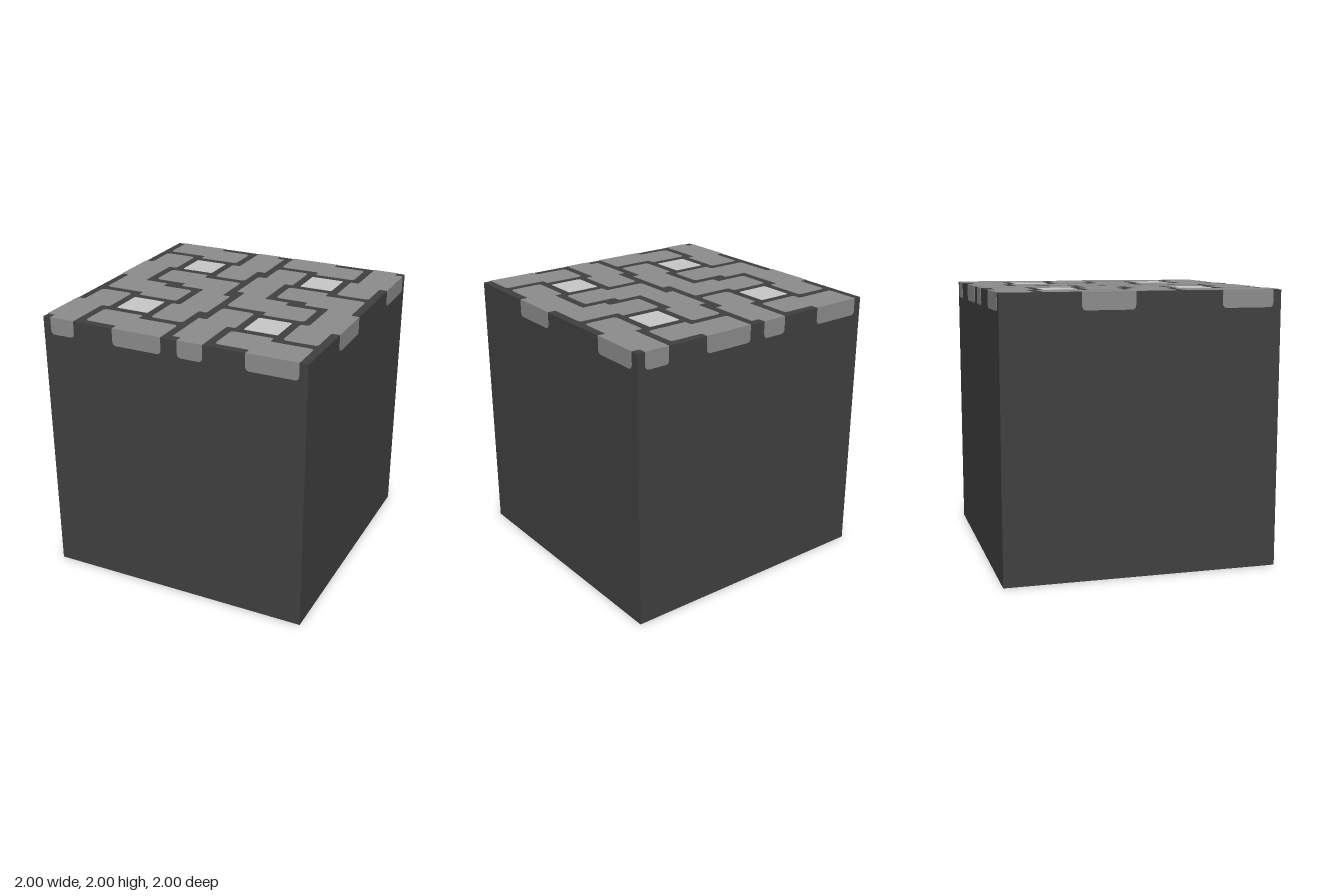
import * as THREE from 'three';

const CELL = 1 / 16;      // layout grid step
const PLATE = 0.003;      // thickness of the inlaid plates

// Closed outline in grid steps with softened corners, except where sharp(x, y) holds
function roundedShape(points, sharp, maxRadius = 0.5) {
  const pts = points.map(([x, y]) => new THREE.Vector2(x, y));
  const n = pts.length;
  const shape = new THREE.Shape();
  pts.forEach((p, i) => {
    const toPrev = pts[(i + n - 1) % n].clone().sub(p);
    const toNext = pts[(i + 1) % n].clone().sub(p);
    const r = sharp(p.x, p.y) ? 0 : Math.min(maxRadius, 0.25 * Math.min(toPrev.length(), toNext.length()));
    const a = p.clone().addScaledVector(toPrev.normalize(), r).multiplyScalar(CELL);
    const b = p.clone().addScaledVector(toNext.normalize(), r).multiplyScalar(CELL);
    if (i === 0) shape.moveTo(a.x, a.y);
    else shape.lineTo(a.x, a.y);
    if (r > 0) shape.quadraticCurveTo(p.x * CELL, p.y * CELL, b.x, b.y);
  });
  shape.closePath();
  return shape;
}

const plateGeometry = (shape) =>
  new THREE.ExtrudeGeometry(shape, { depth: PLATE, bevelEnabled: false, curveSegments: 4 });

export function createModel() {
  const mortar = new THREE.MeshStandardMaterial({ color: 0x404040 });
  mortar.name = 'darkMortar';
  const stone = new THREE.MeshStandardMaterial({ color: 0x8c8c8c });
  stone.name = 'greyStone';
  const accent = new THREE.MeshStandardMaterial({ color: 0xc8c8c8 });
  accent.name = 'paleStone';

  const model = new THREE.Group();
  model.name = 'pavedBlock';
  const add = (parent, name, geometry, material) => {
    const mesh = new THREE.Mesh(geometry, material);
    mesh.name = name;
    parent.add(mesh);
    return mesh;
  };

  // Solid block, a plate's thickness smaller than the outer size
  const width = 2 - 2 * PLATE, height = 2 - PLATE;
  add(model, 'blockBody', new THREE.BoxGeometry(width, height, width), mortar).position.y = height / 2;

  // Paving: one 16 x 16 layout, repeated 2 x 2; half the pavers are the others turned by 180 degrees
  const bar = [[1, 0], [7, 0], [7, 1], [11, 1], [11, 5], [6, 5], [6, 4], [1, 4]];
  const post = [[12, 0], [15, 0], [15, 1], [16, 1], [16, 7], [15, 7], [15, 11], [11, 11], [11, 6], [12, 6]];
  const turn = (points) => points.map(([u, v]) => [16 - u, 16 - v]);
  const flip = (points) => points.map(([u, v]) => [u, -v]);
  const onBorder = (u, v) => u === 0 || u === 16 || v === 0 || v === -16;
  const pavers = [bar, post, turn(bar), turn(post)].map((p) => plateGeometry(roundedShape(flip(p), onBorder)));
  const square = plateGeometry(roundedShape([[6, -10], [10, -10], [10, -6], [6, -6]], () => false, 0.15));

  const paving = new THREE.Group();
  paving.name = 'topPaving';
  paving.rotation.x = -Math.PI / 2;
  paving.position.y = height;
  model.add(paving);
  for (const x of [-1, 0]) {
    for (const y of [1, 0]) {
      pavers.forEach((g) => add(paving, 'paver', g, stone).position.set(x, y, 0));
      add(paving, 'paleSquare', square, accent).position.set(x, y, 0);
    }
  }

  // Paver ends folding over the upper rim, opposite sides alike
  const frontEnds = [[-15, -12], [-7, -1], [1, 4], [9, 15]];
  const sideEnds = [[-7, -1], [9, 15]];
  for (let k = 0; k < 4; k++) {
    const rim = new THREE.Group();
    rim.name = ['frontRim', 'leftRim', 'backRim', 'rightRim'][k];
    rim.rotation.y = k * Math.PI / 2;
    for (const [a, b] of k % 2 ? sideEnds : frontEnds) {
      const shape = roundedShape([[a, 0], [a, -2], [b, -2], [b, 0]], (x, y) => y === 0);
      add(rim, 'paverEnd', plateGeometry(shape), stone).position.set(0, 2, 1 - PLATE);
    }
    model.add(rim);
  }
  return model;
}
